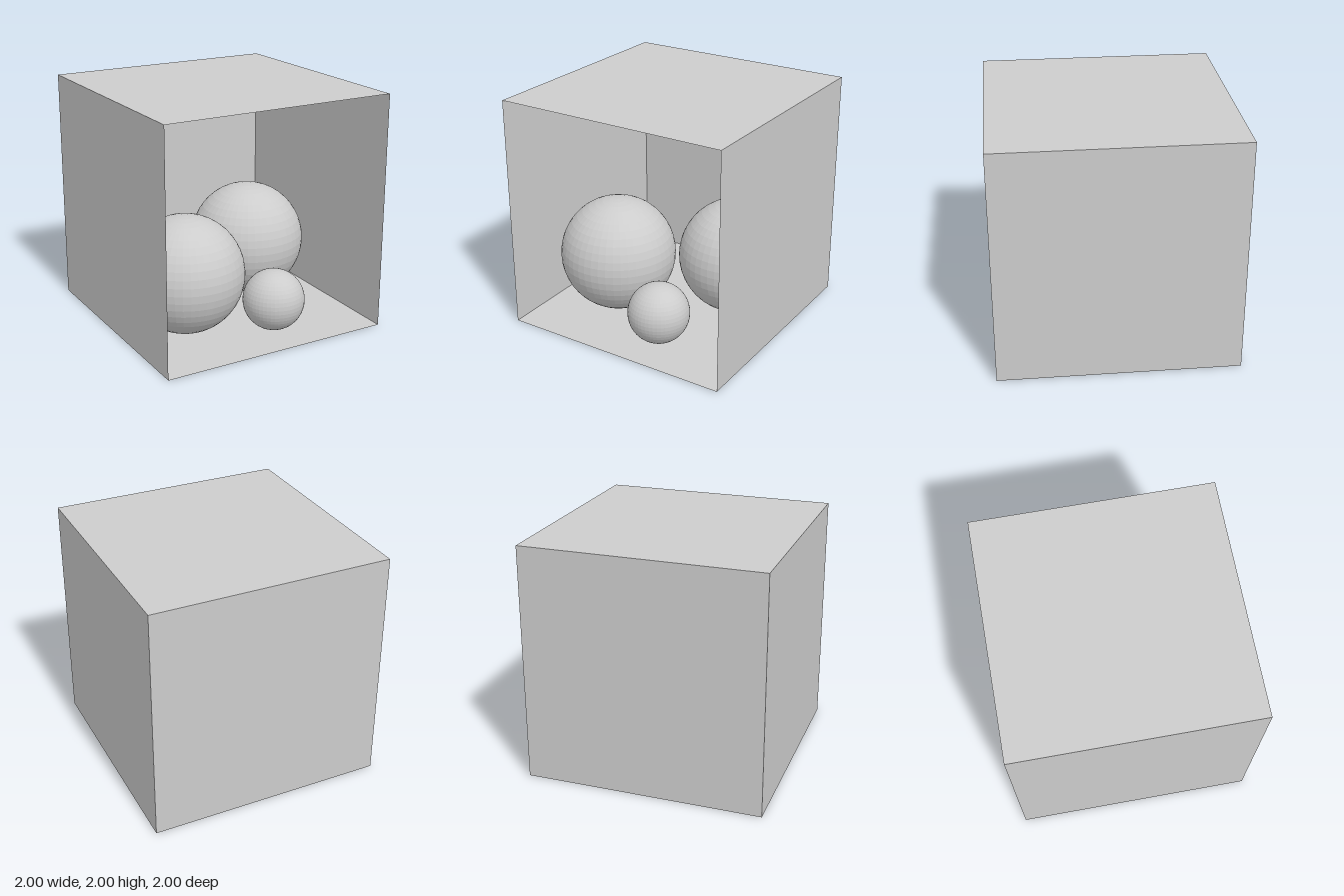
import * as THREE from 'three';

export function createModel() {
  const model = new THREE.Group();
  const wallGrey = new THREE.MeshStandardMaterial({ color: 0xcccccc, side: THREE.DoubleSide, flatShading: true });
  wallGrey.name = 'light grey';

  // Room: five thin panels, open at the front
  const panel = new THREE.PlaneGeometry(2, 2);
  const addPanel = (name, position, rotation) => {
    const mesh = new THREE.Mesh(panel, wallGrey);
    mesh.name = name;
    mesh.position.set(...position);
    mesh.rotation.set(...rotation);
    model.add(mesh);
  };
  const q = Math.PI / 2;
  addPanel('floor', [0, 0, 0], [-q, 0, 0]);
  addPanel('ceiling', [0, 2, 0], [q, 0, 0]);
  addPanel('backWall', [0, 1, -1], [0, 0, 0]);
  addPanel('leftWall', [1, 1, 0], [0, -q, 0]);
  addPanel('rightWall', [-1, 1, 0], [0, q, 0]);

  // Balls resting on the floor
  const addBall = (name, radius, x, z) => {
    const mesh = new THREE.Mesh(new THREE.SphereGeometry(radius, 48, 24), wallGrey);
    mesh.name = name;
    mesh.position.set(x, radius, z);
    model.add(mesh);
  };
  addBall('rightBall', 0.5, -0.45, 0.25);
  addBall('leftBall', 0.5, 0.45, -0.25);
  addBall('smallBall', 0.26, 0.2, 0.6);

  return model;
}
